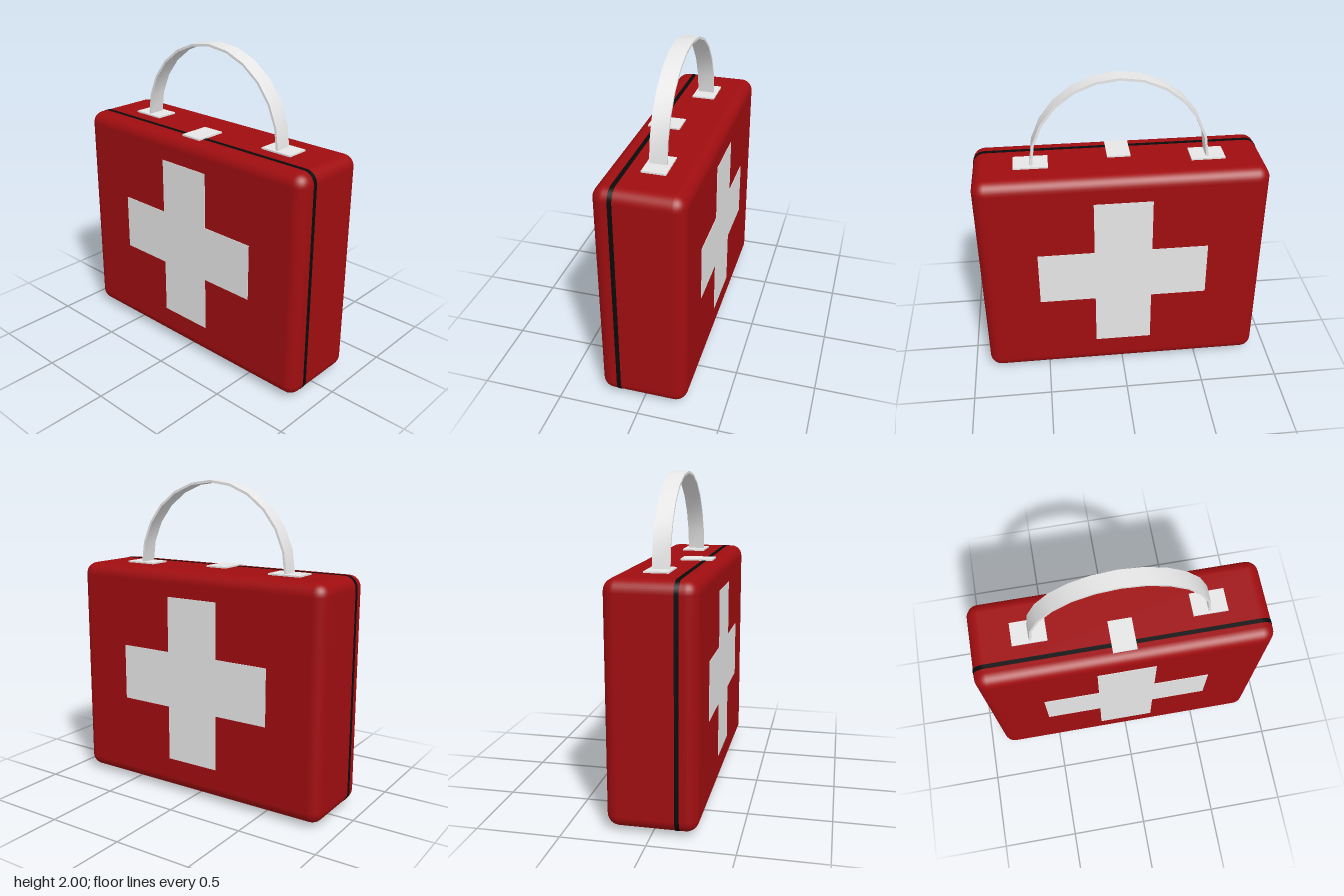
import * as THREE from 'three';
import { toCreasedNormals } from 'three/addons/utils/BufferGeometryUtils.js';
import { RoundedBoxGeometry } from 'three/addons/geometries/RoundedBoxGeometry.js';

const W = 1.79, H = 1.43, D = 0.534, R = 0.075, BASE = 0.025, TOP = BASE + H;

function material(name, color) {
  const m = new THREE.MeshStandardMaterial({ color });
  m.name = name;
  return m;
}

// Rounded rectangle outline centred on the origin
function roundedRect(w, h, r) {
  const s = new THREE.Shape(), x = w / 2 - r, y = h / 2 - r;
  s.absarc(x, y, r, 0, Math.PI / 2);
  s.absarc(-x, y, r, Math.PI / 2, Math.PI);
  s.absarc(-x, -y, r, Math.PI, Math.PI * 1.5);
  s.absarc(x, -y, r, Math.PI * 1.5, Math.PI * 2);
  s.closePath();
  return s;
}

// Plus-shaped outline: half length a, half arm width b
function crossShape(a, b) {
  return new THREE.Shape([
    [b, a], [-b, a], [-b, b], [-a, b], [-a, -b], [-b, -b],
    [-b, -a], [b, -a], [b, -b], [a, -b], [a, b], [b, b],
  ].map(([x, y]) => new THREE.Vector2(x, y)));
}

export function createModel() {
  const red = material('case red', 0xa00d10);
  const white = material('light grey', 0xe6e6e6);
  const black = material('seam black', 0x0a0a0a);
  const model = new THREE.Group();
  model.name = 'firstAidCase';

  const add = (name, geometry, mat, x = 0, y = 0, z = 0) => {
    const mesh = new THREE.Mesh(geometry, mat);
    mesh.name = name;
    mesh.position.set(x, y, z);
    model.add(mesh);
    return mesh;
  };

  // Case body
  add('caseBody', new RoundedBoxGeometry(W, H, D, 4, R), red, 0, BASE + H / 2, 0);

  // Thin seam running round the case between lid and base
  const seam = new THREE.ExtrudeGeometry(roundedRect(W + 0.003, H + 0.003, R),
    { depth: 0.026, bevelEnabled: false, curveSegments: 8 });
  add('lidSeam', toCreasedNormals(seam, 0.6), black, 0, BASE + H / 2, 0.137);

  // Crosses on the front and back
  for (const side of [1, -1]) {
    const cross = new THREE.ExtrudeGeometry(crossShape(0.533, 0.18), { depth: 0.006, bevelEnabled: false });
    const mesh = add(side > 0 ? 'frontCross' : 'backCross', cross, white, 0, 0.757, side * (D / 2 - 0.003));
    if (side < 0) mesh.rotation.y = Math.PI;
  }

  // Handle mounts, latch and hinge
  for (const side of [1, -1]) {
    add(side > 0 ? 'leftHandleMount' : 'rightHandleMount',
      new THREE.BoxGeometry(0.21, 0.016, 0.145), white, side * 0.54, TOP + 0.002, -0.017);
  }
  add('latch', new THREE.BoxGeometry(0.145, 0.016, 0.2), white, 0, TOP + 0.002, 0.1);
  add('hinge', new THREE.BoxGeometry(0.62, 0.03, 0.054), white, 0, 0.015, 0.153);

  // Arched flat handle: a rectangular strip swept through half a turn
  const ri = 0.53, ro = 0.545, lo = -0.04, hi = 0.065;
  const strip = [[ri, lo], [ro, lo], [ro, hi], [ri, hi], [ri, lo]].map(([r, y]) => new THREE.Vector2(r, y));
  const arch = new THREE.LatheGeometry(strip, 12, -Math.PI / 2, Math.PI).rotateX(-Math.PI / 2);
  add('handle', toCreasedNormals(arch, 0.6), white, 0, TOP, 0);

  return model;
}
